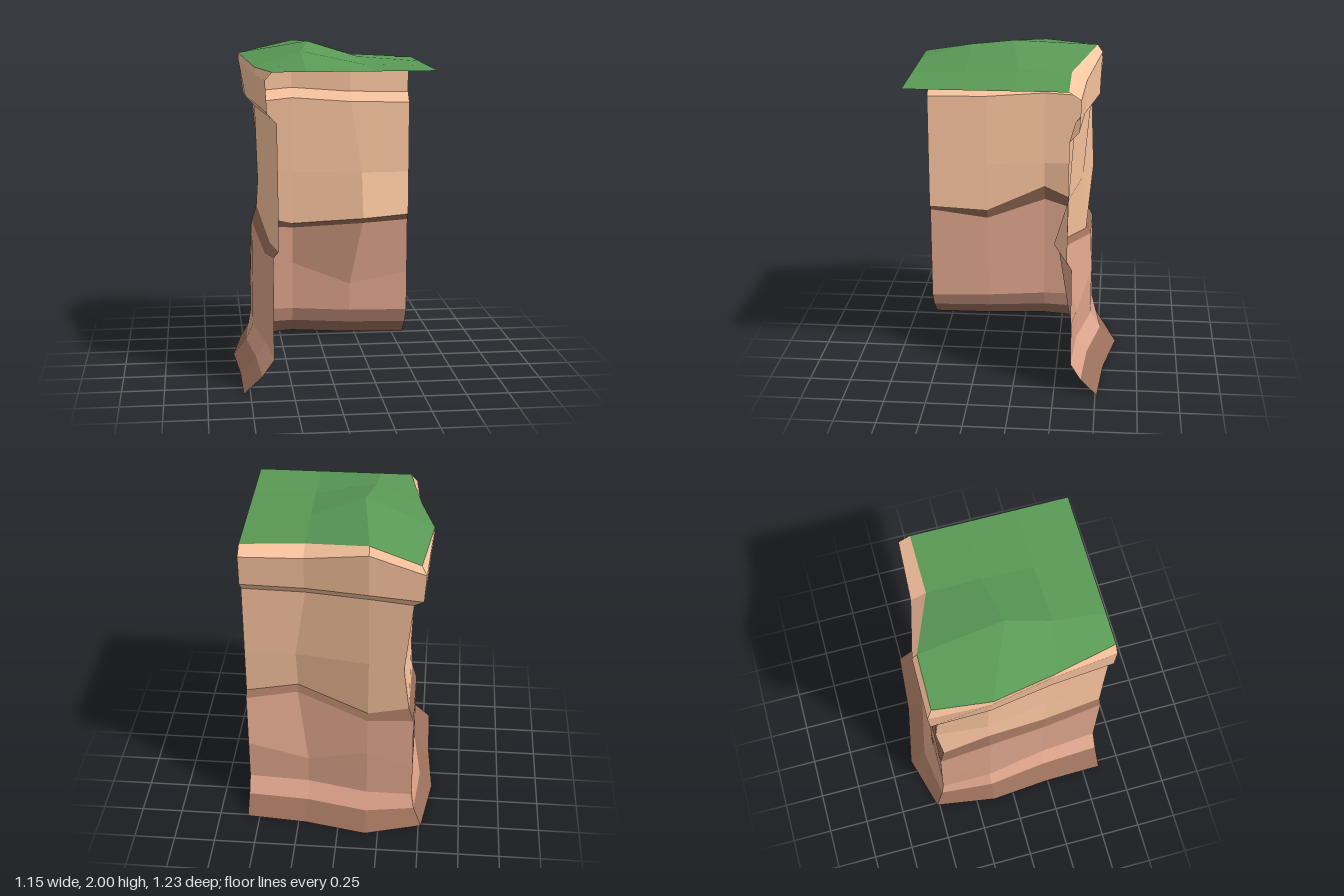
import * as THREE from 'three';

// Faceted sheet through rows of points (each row runs left to right, rows go up).
// Each quad is shaded with one normal, taken from its diagonals.
function sheet(name, rows, color) {
  const pos = [], nor = [];
  const v = p => new THREE.Vector3(...p);
  for (let r = 0; r + 1 < rows.length; r++) {
    for (let c = 0; c + 1 < rows[r].length; c++) {
      const a = rows[r][c], b = rows[r][c + 1], d = rows[r + 1][c + 1], e = rows[r + 1][c];
      const n = v(d).sub(v(a)).cross(v(e).sub(v(b))).normalize().toArray();
      for (const p of [a, b, d, a, d, e]) {
        pos.push(...p);
        nor.push(...n);
      }
    }
  }
  const geo = new THREE.BufferGeometry();
  geo.setAttribute('position', new THREE.Float32BufferAttribute(pos, 3));
  geo.setAttribute('normal', new THREE.Float32BufferAttribute(nor, 3));
  const mesh = new THREE.Mesh(geo, new THREE.MeshStandardMaterial({ color, side: THREE.DoubleSide }));
  mesh.name = name;
  return mesh;
}

// Column placement: o is the distance outward, y the height.
const back = x => (o, y) => [x, y, -o];
const side = z => (o, y) => [-o, y, z];
const corner = (o, y) => [-o, y, -o];

// Wall columns, from the end of the back wall round the corner to the end of the side wall.
// wall, foot, edge, waist, cap: distances outward; mid, low, high, top: heights of the
// lower fold, both ledge edges and the cap edge.
const columns = [
  { at: back(0.575), wall: 0.32, foot: 0.51, edge: 0.32, waist: 0.32, cap: 0.32, mid: 0.46, low: 0.81, high: 0.85, top: 1.87 },
  { at: back(0.2), wall: 0.34, foot: 0.54, edge: 0.23, waist: 0.315, cap: 0.32, mid: 0.38, low: 0.81, high: 0.845, top: 1.89 },
  { at: back(-0.17), wall: 0.42, foot: 0.613, edge: 0.41, waist: 0.385, cap: 0.46, mid: 0.51, low: 0.75, high: 0.785, top: 1.97 },
  { at: corner, wall: 0.42, foot: 0.515, edge: 0.415, waist: 0.41, cap: 0.46, mid: 0.42, low: 0.77, high: 0.84, top: 1.86 },
  { at: side(-0.13), wall: 0.42, foot: 0.575, edge: 0.42, waist: 0.41, cap: 0.52, mid: 0.46, low: 0.87, high: 0.97, top: 1.92 },
  { at: side(0.24), wall: 0.36, foot: 0.545, edge: 0.36, waist: 0.36, cap: 0.44, mid: 0.46, low: 0.75, high: 0.815, top: 1.865 },
  { at: side(0.613), wall: 0.33, foot: 0.54, edge: 0.33, waist: 0.33, cap: 0.36, mid: 0.46, low: 0.81, high: 0.845, top: 1.87 },
];

const row = rule => columns.map(c => c.at(...rule(c)));

export function createModel() {
  const group = new THREE.Group();
  group.name = 'cliffCorner';

  // Flared skirt, lower wall and ledge
  const skirt = row(c => [c.wall + (c.foot - c.wall) * 0.48, 0.1]);
  const lowerEdge = row(c => [c.edge + 0.03, c.low]);
  const ledge = row(c => [c.edge, c.high]);
  lowerEdge[1][0] = ledge[1][0] = 0.27;
  group.add(sheet('foot', [row(c => [c.foot, 0]), skirt], 0x9a6f5a));
  group.add(sheet('lowerRock', [
    skirt,
    row(c => [c.wall + 0.03, 0.2]),
    row(c => [c.wall + 0.03, c.mid]),
    lowerEdge,
  ], 0xdfa58c));
  group.add(sheet('ledge', [lowerEdge, ledge], 0x9a6f5a));

  // Upper wall and overhanging rim; the corner leans sideways at the waist
  const waist = row(c => [c.waist, 1.13]);
  waist[1][0] = 0.27;
  waist[3] = [-0.38, 1.14, -0.445];
  const capEdge = row(c => [c.cap, c.top]);
  group.add(sheet('upperRock', [
    ledge,
    waist,
    row(c => [c.wall + 0.005, 1.58 + (c.top - 1.87) * 0.25]),
    row(c => [c.wall + 0.06, 1.64 + (c.top - 1.87) * 0.25]),
    row(c => [Math.max(c.cap, c.wall + 0.07), c.top - 0.045]),
    capEdge,
  ], 0xfcc6a0));

  // Grass, front to back, sharing its outer edges with the rim
  const [backEnd, backRight, backLeft, cornerCap, sideBack, sideMid, sideEnd] = capEdge;
  group.add(sheet('grassTop', [
    [sideEnd, [-0.17, 1.87, 0.613], [0.2, 1.87, 0.613], [0.575, 1.87, 0.613]],
    [sideMid, [-0.17, 1.96, 0.3], [0.2, 1.88, 0.3], [0.575, 1.87, 0.3]],
    [sideBack, [-0.115, 2, 0.045], [0.2, 1.9, -0.01], [0.575, 1.87, 0]],
    [cornerCap, backLeft, backRight, backEnd],
  ], 0x5a9a56));

  return group;
}
